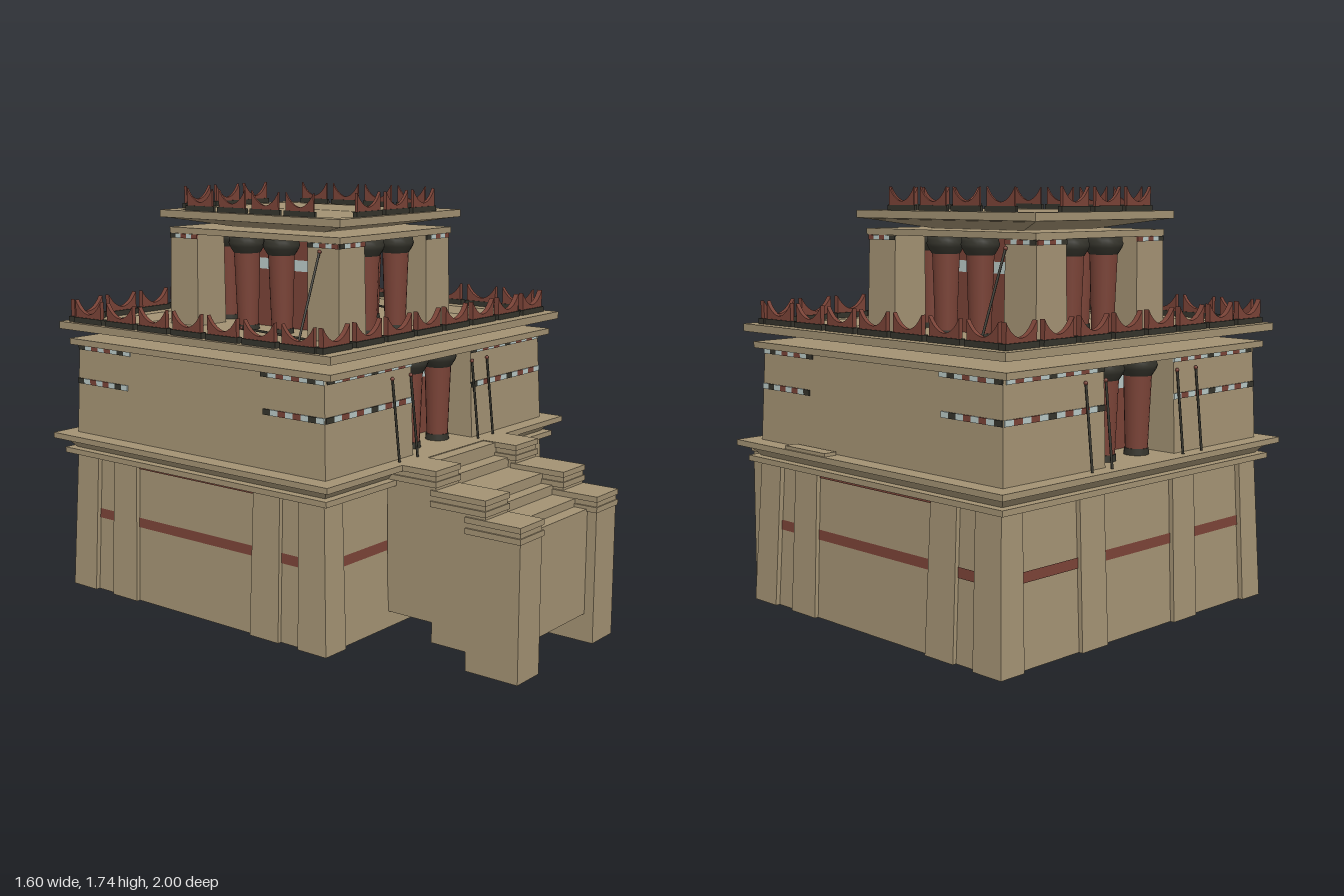
import * as THREE from 'three';

const mat = (name, color, side = THREE.FrontSide) => {
  const m = new THREE.MeshStandardMaterial({ color, side });
  m.name = name;
  return m;
};
const Z = -0.262; // centre of the building in z

export function createModel() {
  const tan = mat('sandstone', 0xa39273);
  const shellTan = tan.clone();
  shellTan.side = THREE.DoubleSide;
  const red = mat('red plaster', 0x7a4337);
  const dark = mat('dark trim', 0x35342c);
  const pale = mat('pale blue', 0xb9c9c6);

  const root = new THREE.Group();
  root.name = 'terracedTemple';
  const add = (name, geo, material, parent = root) => {
    const m = new THREE.Mesh(geo, material);
    m.name = name;
    parent.add(m);
    return m;
  };

  // Stacks rectangular rings [halfX, halfZ, y, centreX, centreZ] into a solid
  const loft = (rings, bottom = true, top = true) => {
    const loops = rings.map(([hx, hz, y, cx = 0, cz = Z]) =>
      [[1, 1], [1, -1], [-1, -1], [-1, 1]].map(([a, b]) => [cx + a * hx, y, cz + b * hz]));
    const p = [];
    const quad = (a, b, c, d) => p.push(...a, ...b, ...c, ...a, ...c, ...d);
    for (let k = 0; k + 1 < loops.length; k++) {
      for (let i = 0; i < 4; i++) {
        const j = (i + 1) % 4;
        quad(loops[k][i], loops[k][j], loops[k + 1][j], loops[k + 1][i]);
      }
    }
    const f = loops[0], l = loops[loops.length - 1];
    if (bottom) quad(f[3], f[2], f[1], f[0]);
    if (top) quad(l[0], l[1], l[2], l[3]);
    const g = new THREE.BufferGeometry();
    g.setAttribute('position', new THREE.Float32BufferAttribute(p, 3));
    g.computeVertexNormals();
    return g;
  };
  const box = (name, material, x0, x1, y0, y1, z0, z1) =>
    add(name, new THREE.BoxGeometry(x1 - x0, y1 - y0, z1 - z0)
      .translate((x0 + x1) / 2, (y0 + y1) / 2, (z0 + z1) / 2), material);

  // Base: hollow battered walls with pilasters and a red stripe
  add('baseWalls', loft([[0.737, 0.672, 0.092], [0.71, 0.645, 0.66]], false, true), shellTan);
  add('baseStripe', loft([[0.7255, 0.6605, 0.398], [0.7237, 0.6587, 0.437]], false, false), red);
  for (const sx of [-1, 1]) {
    for (const sz of [-1, 1]) {
      add('cornerPilaster', loft([
        [0.058, 0.068, 0.092, sx * 0.698, Z + sz * 0.624],
        [0.052, 0.062, 0.66, sx * 0.678, Z + sz * 0.604]]), tan);
      add('sidePilaster', loft([
        [0.055, 0.072, 0.092, sx * 0.698, Z + sz * 0.384],
        [0.055, 0.066, 0.66, sx * 0.673, Z + sz * 0.384]]), tan);
    }
    add('backPilaster', loft([
      [0.07, 0.055, 0.092, sx * 0.265, Z - 0.634],
      [0.066, 0.055, 0.66, sx * 0.265, Z - 0.609]]), tan);
    add('sideTopStripe', loft([
      [0.01, 0.312, 0.638, sx * 0.707], [0.01, 0.312, 0.66, sx * 0.707]]), red);
  }
  // Terrace cornice
  add('lowerCornice', loft([[0.765, 0.705, 0.66], [0.765, 0.705, 0.682]]), tan);
  add('corniceNeck', loft([[0.73, 0.67, 0.682], [0.765, 0.705, 0.722]], false, false), tan);
  add('terrace', loft([[0.798, 0.737, 0.722], [0.798, 0.737, 0.745]]), tan);
  box('looseSlab', tan, 0.735, 0.79, 0.745, 0.758, -0.07, 0.17);

  // Second storey: two wall blocks flanking a red core
  for (const s of [-1, 1]) {
    const ring = (o, hz, y) => [(o - 0.2) / 2, hz, y, s * (o + 0.2) / 2];
    add('middleWall', loft([ring(0.725, 0.668, 0.745), ring(0.712, 0.655, 1.112)]), tan);
  }
  add('middleCore', loft([[0.178, 0.46, 0.745], [0.178, 0.46, 1.112]]), red);
  add('middleCoreBand', loft([[0.181, 0.463, 0.98], [0.181, 0.463, 1.03]], false, false), pale);

  // Roof: slab, flaring underside, rim and sunken floor
  const roof = (name, hx, hz, y, rim, depth, cz) => {
    add(name + 'Slab', loft([[hx - 0.03, hz - 0.025, y, 0, cz], [hx - 0.03, hz - 0.025, y + 0.025, 0, cz]]), tan);
    add(name, loft([
      [hx * 0.5, hz * 0.5, y + 0.025, 0, cz], [hx - 0.03, hz - 0.03, y + 0.062, 0, cz],
      [hx, hz, y + 0.066, 0, cz], [hx, hz, y + 0.096, 0, cz],
      [hx - rim, hz - rim, y + 0.096, 0, cz],
      [hx - rim - 0.02, hz - rim - 0.02, y + 0.096 - depth, 0, cz]]), tan);
  };
  roof('mainRoof', 0.763, 0.72, 1.11, 0.125, 0.03, Z + 0.005);
  roof('upperRoof', 0.392, 0.482, 1.553, 0.06, 0.025, Z - 0.016);

  // Third storey: corner piers around a red core
  const Z3 = -0.283;
  for (const sx of [-1, 1]) for (const sz of [-1, 1]) {
    add('upperPier', loft([
      [0.083, 0.08, 1.17, sx * 0.281, Z3 + sz * 0.377],
      [0.078, 0.077, 1.555, sx * 0.279, Z3 + sz * 0.374]]), tan);
  }
  add('upperCore', loft([[0.172, 0.182, 1.17, 0, Z3], [0.172, 0.182, 1.6, 0, Z3]]), red);
  add('upperCoreBand', loft([[0.175, 0.185, 1.412, 0, Z3], [0.175, 0.185, 1.457, 0, Z3]], false, false), pale);

  // Downward-tapering columns with dark bases and cushion capitals
  const column = (x, z, y0, y1) => {
    const g = new THREE.Group();
    g.name = 'column';
    g.position.set(x, y0, z);
    const h = y1 - y0;
    add('columnShaft', new THREE.CylinderGeometry(0.054, 0.042, h - 0.05, 20).translate(0, h / 2 - 0.025, 0), red, g);
    add('columnBase', new THREE.CylinderGeometry(0.046, 0.048, 0.025, 20).translate(0, 0.0125, 0), dark, g);
    const pts = [[0.052, h - 0.07], [0.058, h - 0.062], [0.07, h - 0.042], [0.075, h - 0.028], [0.07, h - 0.015], [0.07, h], [0, h]];
    add('columnCapital', new THREE.LatheGeometry(pts.map((q) => new THREE.Vector2(...q)), 20), dark, g);
    root.add(g);
  };
  for (const s of [-1, 1]) {
    for (const e of [-1, 1]) {
      column(s * 0.096, Z + e * 0.57, 0.745, 1.112);
      column(s * 0.096, Z3 + e * 0.375, 1.17, 1.555);
      column(e * 0.28, Z3 + s * 0.093, 1.17, 1.555);
    }
  }

  // Painted friezes: rows of thin coloured tiles from a to b along one wall
  const cycle = [dark, pale, red, pale, red, pale];
  const frieze = (axis, sign, a, b, y, h, d, tiles) => {
    const w = (b - a) / tiles;
    for (let i = 0; i < tiles; i++) {
      const c = a + (i + 0.5) * w;
      const g = axis === 'x' ? new THREE.BoxGeometry(0.008, h, w) : new THREE.BoxGeometry(w, h, 0.008);
      if (axis === 'x') g.translate(sign * d, y, c);
      else g.translate(c, y, d);
      add('friezeTile', g, cycle[i % cycle.length]);
    }
  };
  for (const s of [-1, 1]) {
    for (const e of [-1, 1]) {
      const span = (lo, hi, c = 0) => (e > 0 ? [c + lo, c + hi] : [c - hi, c - lo]);
      frieze('z', s, ...span(0.2, 0.713), 0.961, 0.022, Z + s * 0.661, 12);
      frieze('z', s, ...span(0.2, 0.7), 1.099, 0.018, Z + s * 0.656, 12);
      frieze('x', s, ...span(0.365, 0.66, Z), 0.961, 0.022, 0.718, 8);
      frieze('x', s, ...span(0.35, 0.655, Z), 1.099, 0.018, 0.713, 8);
      frieze('z', s, ...span(0.2, 0.357), 1.543, 0.018, Z3 + s * 0.452, 5);
      frieze('x', s, ...span(0.297, 0.451, Z3), 1.543, 0.018, 0.358, 5);
    }
  }

  // Horn crests along the roof edges
  const horn = (x, y, z, len, thick, turned) => {
    const g = new THREE.Group();
    g.name = 'hornCrest';
    g.position.set(x, y, z);
    if (turned) g.rotation.y = Math.PI / 2;
    add('crestBase', new THREE.BoxGeometry(len, 0.022, thick * 1.5).translate(0, 0.011, 0), dark, g);
    const e = len / 2 - 0.008, s = new THREE.Shape();
    s.moveTo(-e, 0.02);
    s.lineTo(-e, 0.092);
    s.quadraticCurveTo(-e * 0.6, 0.04, 0, 0.036);
    s.quadraticCurveTo(e * 0.6, 0.04, e, 0.092);
    s.lineTo(e, 0.02);
    add('crestHorns', new THREE.ExtrudeGeometry(s, { depth: thick, bevelEnabled: false, curveSegments: 6 })
      .translate(0, 0, -thick / 2), red, g);
    root.add(g);
  };
  const row = (n, pitch, place) => {
    for (let i = 0; i < n; i++) place((i - (n - 1) / 2) * pitch);
  };
  for (const s of [-1, 1]) {
    row(8, 0.186, (t) => horn(t - 0.007, 1.206, -0.265 + s * 0.66, 0.165, 0.022, false));
    row(7, 0.186, (t) => horn(s * 0.72 - 0.012, 1.206, -0.265 + t, 0.165, 0.018, true));
    row(3, 0.178, (t) => horn(t - 0.012, 1.648, Z3 + s * 0.458, 0.157, 0.014, false));
    row(4, 0.178, (t) => horn(s * 0.357 - 0.009, 1.648, Z3 + t, 0.157, 0.008, true));
  }

  // Poles, leaning against the walls or lying on the roof
  const pole = (a, b) => {
    const curve = new THREE.LineCurve3(new THREE.Vector3(...a), new THREE.Vector3(...b));
    add('pole', new THREE.TubeGeometry(curve, 1, 0.005, 6), dark);
    add('poleTip', new THREE.SphereGeometry(0.008, 8, 6).translate(...(a[1] > b[1] ? a : b)), red);
  };
  for (const x of [-0.328, -0.213, 0.2, 0.308]) {
    for (const s of [-1, 1]) pole([x, 1.06, Z + s * 0.665], [x, 0.745, Z + s * 0.7]);
  }
  pole([0.366, 1.52, -0.59], [0.485, 1.19, -0.585]);
  pole([-0.366, 1.52, 0.08], [-0.515, 1.19, 0.1]);
  pole([0.495, 1.185, -0.18], [0.565, 1.2, -0.51]);
  pole([-0.405, 1.185, 0.04], [-0.41, 1.2, -0.29]);

  // Stair cheeks: three stepped blocks, each with two projecting cap courses
  const stages = [[0.765, 0.995, 0, 0.595], [0.61, 0.845, 0.075, 0.67], [0.40, 0.625, 0.155, 0.745]];
  for (const [x0, x1] of [[-0.352, -0.206], [0.192, 0.342]]) {
    for (const [z0, z1, y0, y1] of stages) {
      box('stairCheek', tan, x0, x1, y0, y1 - 0.005, z0, z1);
      for (const drop of [0, 0.042]) {
        box('cheekCap', tan, x0 - 0.008, x1 + 0.008, y1 - 0.022 - drop, y1 - drop, z0 - 0.005, z1 + 0.005);
      }
    }
  }
  // Flight of steps between the cheeks
  const flight = new THREE.Shape();
  flight.moveTo(0.4, 0.115);
  flight.lineTo(0.955, 0.115);
  const steps = [[0.955, 0.54], [0.90, 0.572], [0.80, 0.61], [0.75, 0.65], [0.59, 0.69], [0.53, 0.742]];
  steps.forEach(([z, y], i) => {
    flight.lineTo(z, y);
    flight.lineTo(i < 5 ? steps[i + 1][0] : 0.4, y);
  });
  add('steps', new THREE.ExtrudeGeometry(flight, { depth: 0.398, bevelEnabled: false })
    .rotateY(-Math.PI / 2).translate(0.192, 0, 0), tan);

  root.position.x = -0.005;
  const model = new THREE.Group();
  model.name = 'temple';
  model.add(root);
  return model;
}
